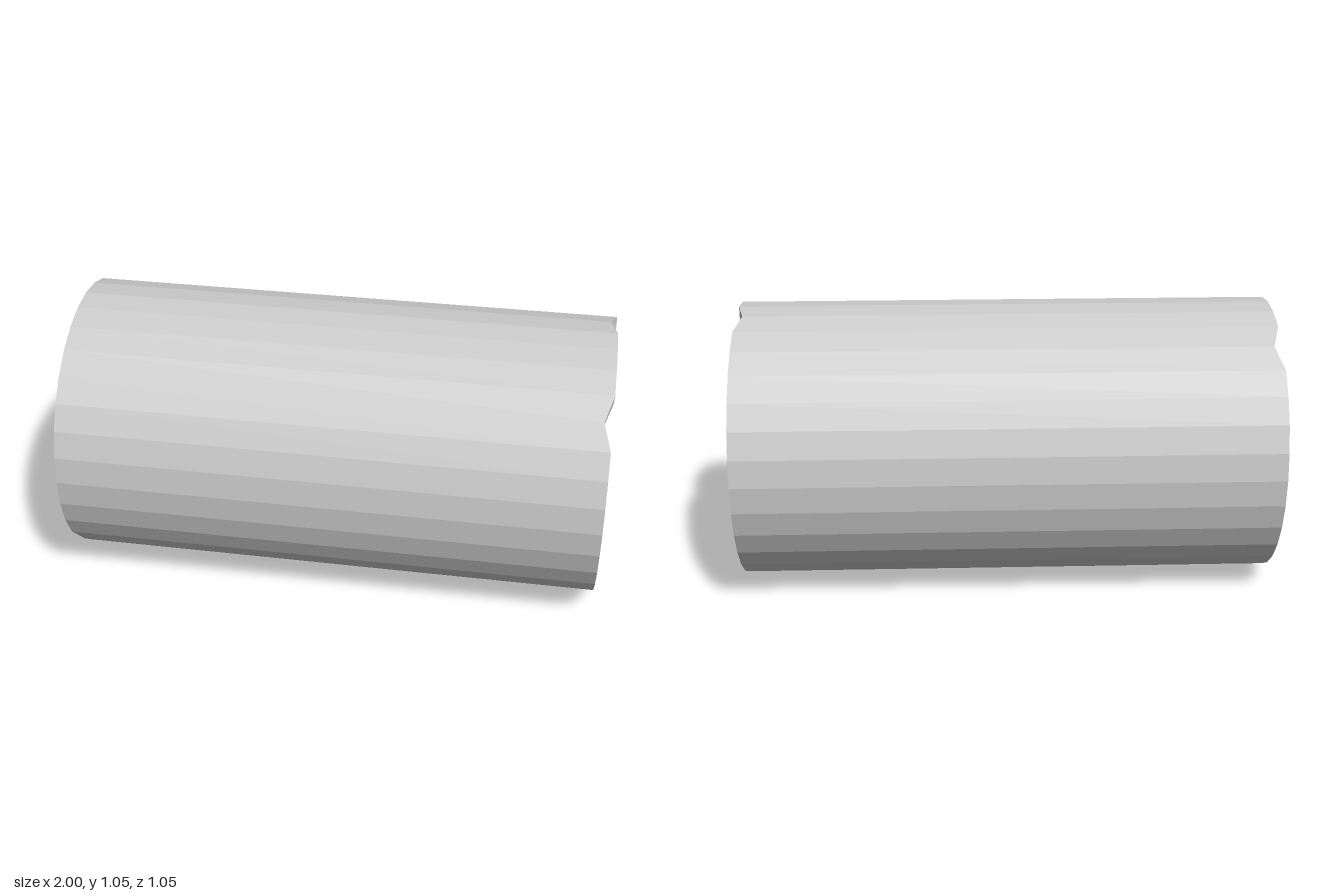
import * as THREE from 'three';

const SIDES = 32, OUTER = 0.523, INNER = 0.447, RECESS = 0.045;

// Chip depth by corner index, counted from the top towards the front
const LEFT_CHIPS = { 12: 0.022, 13: 0.02, 29: 0.03 };
const RIGHT_CHIPS = { 4: 0.03, 16: 0.035, 31: 0.025 };

// One ring of corners around the x axis, pushed inwards at the chips
function ring(radius, end, chips = {}, inset = 0) {
  return Array.from({ length: SIDES }, (_, i) => {
    const t = (i / SIDES) * Math.PI * 2;
    const x = end * (1 - inset - (chips[i] || 0));
    return [x, radius * Math.cos(t), radius * Math.sin(t)];
  });
}

// Band of flat quads joining two rings
function band(a, b) {
  const pos = [];
  for (let i = 0; i < SIDES; i++) {
    const j = (i + 1) % SIDES;
    pos.push(...a[i], ...a[j], ...b[j], ...a[i], ...b[j], ...b[i]);
  }
  const geo = new THREE.BufferGeometry();
  geo.setAttribute('position', new THREE.Float32BufferAttribute(pos, 3));
  geo.computeVertexNormals();
  return geo;
}

export function createModel() {
  const group = new THREE.Group();
  const stone = new THREE.MeshStandardMaterial({ color: 0xcccccc, flatShading: true });
  stone.name = 'pale stone grey';

  const add = (name, geo) => {
    const mesh = new THREE.Mesh(geo, stone);
    mesh.name = name;
    mesh.position.y = OUTER;
    group.add(mesh);
  };

  // Long faceted side
  add('shell', band(ring(OUTER, -1, LEFT_CHIPS), ring(OUTER, 1, RIGHT_CHIPS)));

  // Each end: chipped rim, short inner wall and recessed cap
  for (const [side, end, chips] of [['left', 1, RIGHT_CHIPS], ['right', -1, LEFT_CHIPS]]) {
    const out = ring(OUTER, end, chips);
    const inn = ring(INNER, end, chips);
    const deep = ring(INNER, end, {}, RECESS);
    add(side + 'Rim', end > 0 ? band(out, inn) : band(inn, out));
    add(side + 'InnerWall', end > 0 ? band(inn, deep) : band(deep, inn));
    const cap = new THREE.CircleGeometry(INNER, SIDES);
    cap.rotateY(end * Math.PI / 2);
    cap.translate(end * (1 - RECESS), 0, 0);
    add(side + 'Cap', cap);
  }
  return group;
}
